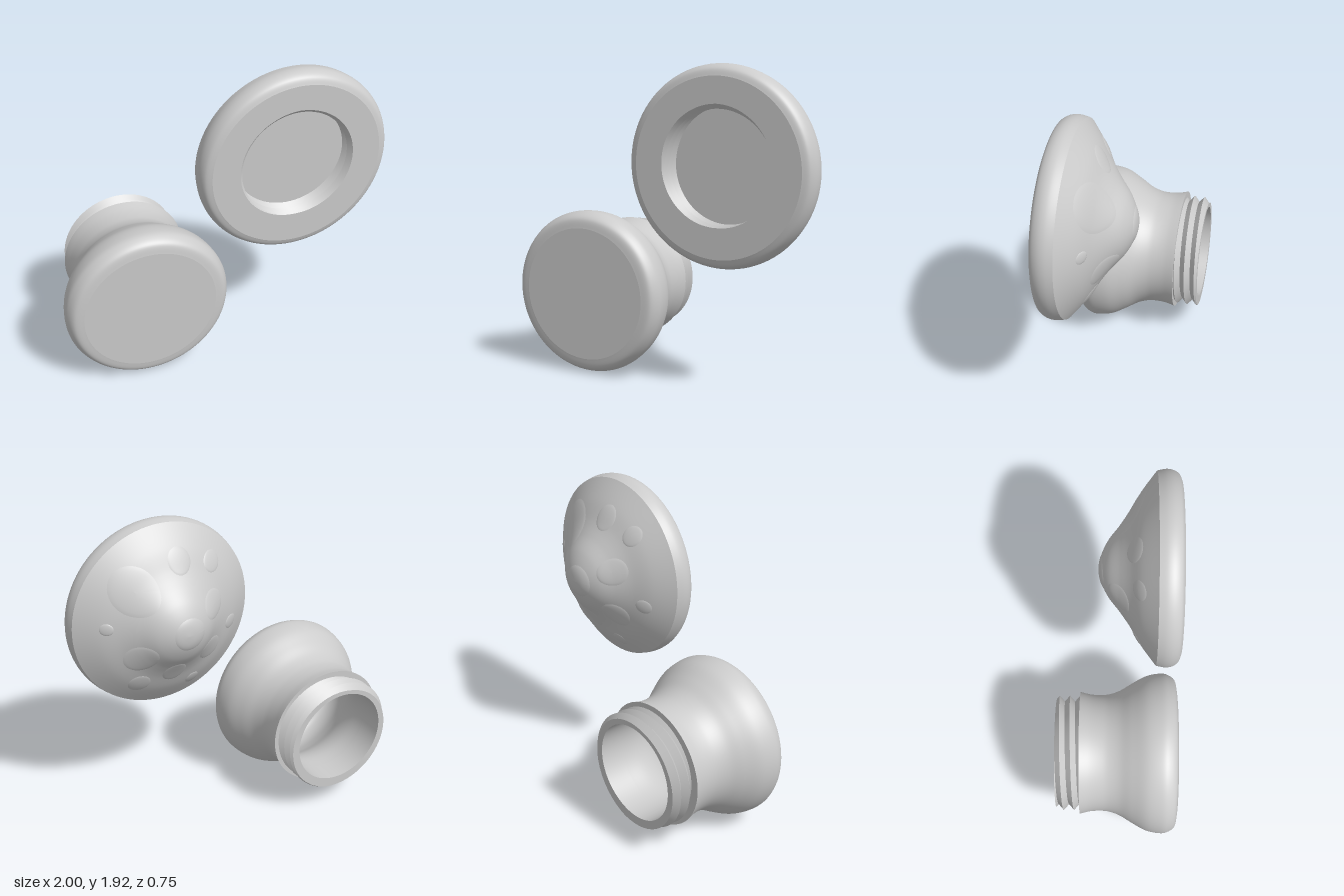
import * as THREE from 'three';
import { mergeGeometries, toCreasedNormals } from 'three/addons/utils/BufferGeometryUtils.js';

const SEGMENTS = 96;
const material = new THREE.MeshStandardMaterial({ color: 0xcccccc });
const V = (p) => new THREE.Vector2(p[0], p[1]);
const smooth = (pts, n = 40) => new THREE.SplineCurve(pts.map(V)).getPoints(n);

// Turned part pointing backwards: profile is [radius, distance behind the front face]
function lathe(points) {
  const geometry = new THREE.LatheGeometry(points, SEGMENTS);
  geometry.rotateX(-Math.PI / 2);
  return geometry;
}

// Several profile pieces in one mesh, with a sharp edge between pieces
function turned(name, pieces) {
  const mesh = new THREE.Mesh(mergeGeometries(pieces.map(lathe)), material);
  mesh.name = name;
  return mesh;
}

// Helical screw thread between depths h0 and h1; rStart and rEnd close its two ends
function thread(name, { h0, h1, start, pitch, rMin, rMax, rStart, rEnd, inward }) {
  const rows = 2 * Math.ceil((h1 - start) / pitch + 1) + 1;
  const n = rows + 2;
  const geometry = new THREE.LatheGeometry(
    Array.from({ length: n }, (_, j) => new THREE.Vector2(1, j)), SEGMENTS);
  const pos = geometry.attributes.position;
  for (let i = 0; i <= SEGMENTS; i++) {
    const turn = i / SEGMENTS;
    const a = turn * Math.PI * 2;
    for (let j = 0; j < n; j++) {
      const k = inward ? n - 1 - j : j;
      const raw = start + pitch * ((k - 1) / 2 + turn - 1);
      let h = THREE.MathUtils.clamp(raw, h0, h1);
      const phase = (h - start) / pitch - turn;
      let r = rMin + (rMax - rMin) * Math.abs(2 * (phase - Math.floor(phase)) - 1);
      if (k === 0) [r, h] = [rStart, h0];
      if (k === n - 1) [r, h] = [rEnd, h1];
      pos.setXYZ(i * n + j, r * Math.sin(a), h, r * Math.cos(a));
    }
  }
  geometry.rotateX(-Math.PI / 2);
  const mesh = new THREE.Mesh(toCreasedNormals(geometry, 0.5), material);
  mesh.name = name;
  return mesh;
}

function createJar() {
  const jar = new THREE.Group();
  jar.name = 'jar';
  // Stem-shaped body with flat base and shoulder
  jar.add(turned('jarBody', [
    [[0, 0], [0.41, 0]].map(V),
    smooth([[0.41, 0], [0.465, 0.012], [0.495, 0.05], [0.505, 0.1], [0.488, 0.19],
      [0.44, 0.28], [0.395, 0.355], [0.372, 0.42], [0.366, 0.475], [0.37, 0.54], [0.385, 0.605]], 60),
    [[0.385, 0.605], [0.3, 0.605]].map(V),
  ]));
  // Screw neck, with the lip as its end
  jar.add(thread('jarNeckThread', {
    h0: 0.605, h1: 0.755, start: 0.595, pitch: 0.065, rMin: 0.325, rMax: 0.362, rStart: 0.32, rEnd: 0.3,
  }));
  // Hollow inside
  jar.add(turned('jarInside', [
    [[0.3, 0.755], [0.3, 0.6]].map(V),
    smooth([[0.3, 0.6], [0.305, 0.48], [0.335, 0.38], [0.4, 0.27], [0.44, 0.18],
      [0.445, 0.11], [0.42, 0.065], [0.36, 0.05]]),
    [[0.36, 0.05], [0, 0.05]].map(V),
  ]));
  jar.position.set(-0.495, 0.505, 0.375);
  return jar;
}

function createLid() {
  const lid = new THREE.Group();
  lid.name = 'lid';
  const dome = smooth([[0.575, 0.145], [0.45, 0.238], [0.335, 0.305], [0.26, 0.357],
    [0.17, 0.428], [0.08, 0.471], [0, 0.483]], 60);
  // Flat underside, rounded rim and domed top
  lid.add(turned('lidCap', [
    [[0.38, 0], [0.52, 0]].map(V),
    smooth([[0.52, 0], [0.558, 0.017], [0.58, 0.053], [0.585, 0.095], [0.575, 0.145]], 24),
    dome,
  ]));
  // Threaded socket and its floor
  lid.add(thread('lidSocketThread', {
    h0: 0, h1: 0.15, start: 0, pitch: 0.065, rMin: 0.335, rMax: 0.365, rStart: 0.38, rEnd: 0.36, inward: true,
  }));
  lid.add(turned('lidSocketFloor', [[[0, 0.15], [0.37, 0.15]].map(V)]));

  // Height of the dome at a given radius
  const domeHeight = (r) => {
    const i = Math.max(1, dome.findIndex((p) => p.x <= r));
    const a = dome[i - 1], b = dome[i];
    return THREE.MathUtils.mapLinear(r, a.x, b.x, a.y, b.y);
  };
  // Slightly raised round spots lying on the dome: x, y, radius
  const spots = [
    [-0.02, 0, 0.11], [0.24, 0.26, 0.15], [-0.06, 0.38, 0.08], [-0.28, 0.32, 0.065],
    [0.41, 0.05, 0.04], [0.24, -0.15, 0.1], [0.22, -0.36, 0.07], [0.02, -0.3, 0.08],
    [-0.22, -0.2, 0.09], [-0.4, -0.1, 0.05], [-0.23, 0.1, 0.09], [-0.14, -0.43, 0.05],
  ];
  for (const [cx, cy, radius] of spots) {
    const geometry = new THREE.RingGeometry(0, 1, 40, 8).rotateY(Math.PI);
    const pos = geometry.attributes.position;
    for (let i = 0; i < pos.count; i++) {
      const u = pos.getX(i), v = pos.getY(i);
      const x = cx + u * radius, y = cy + v * radius;
      const lift = 0.009 * Math.sqrt(Math.max(0, 1 - u * u - v * v)) - 0.003;
      pos.setXYZ(i, x, y, -domeHeight(Math.hypot(x, y)) - lift);
    }
    geometry.computeVertexNormals();
    const spot = new THREE.Mesh(geometry, material);
    spot.name = 'lidSpot';
    lid.add(spot);
  }
  lid.position.set(0.41, 1.335, 0.375);
  return lid;
}

export function createModel() {
  const model = new THREE.Group();
  model.name = 'mushroomJar';
  model.add(createJar(), createLid());
  return model;
}
